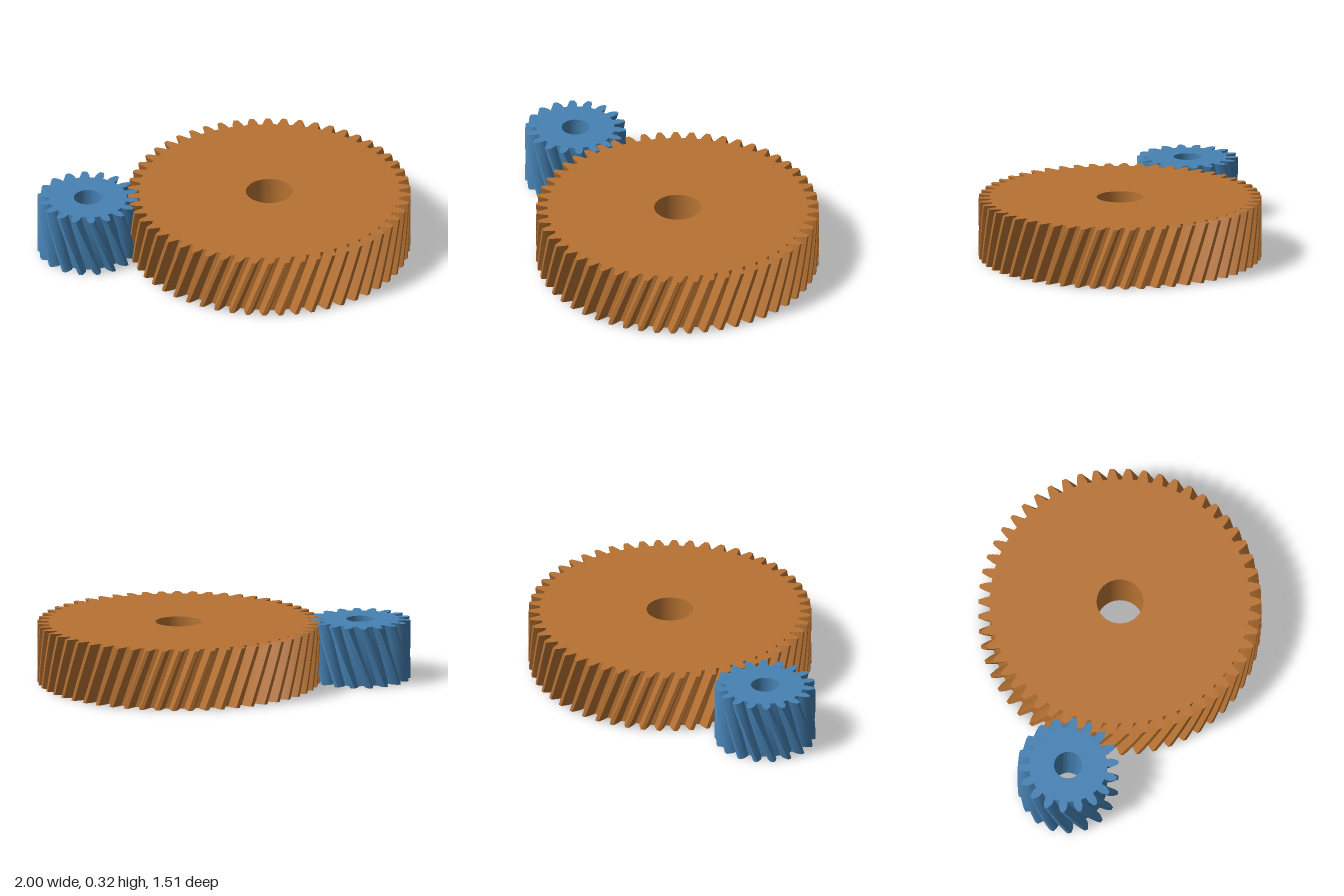
import * as THREE from 'three';
import { toCreasedNormals } from 'three/addons/utils/BufferGeometryUtils.js';

const MODULE = 2 / 74;              // tooth size: pitch diameter / tooth count
const WIDTH = 12 * MODULE;          // face width of both gears
const PRESSURE = THREE.MathUtils.degToRad(20);
const HELIX = THREE.MathUtils.degToRad(20);
const involute = (a) => Math.tan(a) - a;

// Outline of an involute spur gear with a round bore
function gearShape(teeth, phase, bore) {
  const pitch = MODULE * teeth / 2;
  const base = pitch * Math.cos(PRESSURE);
  const tip = pitch + MODULE;
  const root = pitch - 1.25 * MODULE;
  const start = Math.max(base, root);

  // One flank as [radius, half angle] pairs from root to tip
  const halfAngle = (r) =>
    Math.PI / (2 * teeth) + involute(PRESSURE) - involute(Math.acos(Math.min(1, base / r)));
  const flank = [[root, halfAngle(start)]];
  for (let i = root < base ? 0 : 1; i <= 5; i++) {
    const r = start + (tip - start) * i / 5;
    flank.push([r, halfAngle(r)]);
  }

  const points = [];
  const add = (r, a) => points.push(new THREE.Vector2(r * Math.cos(a), r * Math.sin(a)));
  for (let t = 0; t < teeth; t++) {
    const middle = phase + t * 2 * Math.PI / teeth;
    flank.forEach(([r, a]) => add(r, middle - a));
    [...flank].reverse().forEach(([r, a]) => add(r, middle + a));
  }
  const shape = new THREE.Shape(points);
  shape.holes.push(new THREE.Path().absarc(0, 0, bore, 0, Math.PI * 2, true));
  return shape;
}

// Extrude the outline and turn each layer to make helical teeth
function helicalGear(name, teeth, phase, bore, hand, material) {
  const geometry = new THREE.ExtrudeGeometry(gearShape(teeth, phase, bore), {
    depth: WIDTH, steps: 12, bevelEnabled: false, curveSegments: 32,
  });
  const twist = hand * WIDTH * Math.tan(HELIX) / (MODULE * teeth / 2);
  const position = geometry.attributes.position;
  const axis = new THREE.Vector3(0, 0, 1);
  const v = new THREE.Vector3();
  for (let i = 0; i < position.count; i++) {
    v.fromBufferAttribute(position, i);
    v.applyAxisAngle(axis, twist * (v.z / WIDTH - 1));
    position.setXYZ(i, v.x, v.y, v.z);
  }
  geometry.rotateX(-Math.PI / 2);
  const mesh = new THREE.Mesh(toCreasedNormals(geometry, 0.4), material);
  mesh.name = name;
  return mesh;
}

export function createModel() {
  const copper = new THREE.MeshStandardMaterial({ color: 0xb87333 });
  copper.name = 'copper';
  const blue = new THREE.MeshStandardMaterial({ color: 0x4682b4 });
  blue.name = 'steel blue';

  // The wheel has three times the teeth of the pinion and the opposite helix hand
  const wheel = helicalGear('largeGear', 54, 0, 0.125, 1, copper);
  wheel.position.x = 1 - 28 * MODULE;
  const pinion = helicalGear('pinion', 18, Math.PI / 18, 0.075, -1, blue);
  pinion.position.x = -1 + 10 * MODULE;

  const group = new THREE.Group();
  group.name = 'helicalGearPair';
  group.add(wheel, pinion);
  return group;
}
